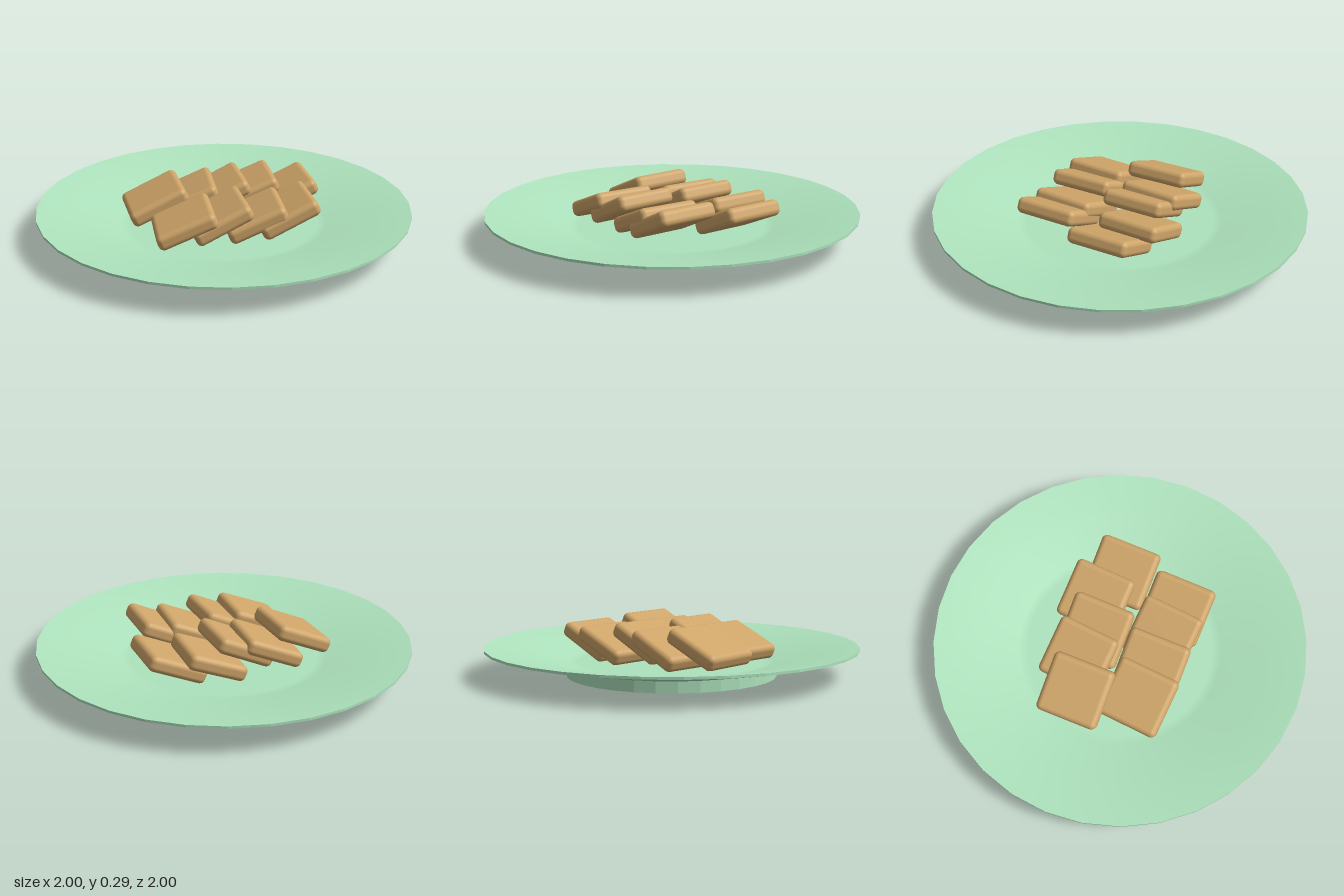
import * as THREE from 'three';
import { RoundedBoxGeometry } from 'three/addons/geometries/RoundedBoxGeometry.js';

const plateColor = 0xaee3bd;
const biscuitColor = 0xcfa569;

// Revolve a [radius, height] profile into one part of the plate
function ring(name, profile, flatShading) {
  const points = profile.map(([r, y]) => new THREE.Vector2(r, y));
  const mesh = new THREE.Mesh(
    new THREE.LatheGeometry(points, 32),
    new THREE.MeshStandardMaterial({ color: plateColor, flatShading, side: THREE.DoubleSide })
  );
  mesh.name = name;
  return mesh;
}

export function createModel() {
  const group = new THREE.Group();
  group.name = 'plateOfBiscuits';

  // Plate: foot ring with recess, sloping underside, thin rim, dished top
  const plate = new THREE.Group();
  plate.name = 'plate';
  plate.add(
    ring('foot', [[0, 0.03], [0.47, 0.03], [0.47, 0], [0.565, 0], [0.565, 0.06]], true),
    ring('underside', [[0.565, 0.06], [1, 0.147], [1, 0.16]], true),
    ring('dish', [[1, 0.16], [0.78, 0.127], [0.55, 0.075], [0.5, 0.071], [0, 0.07]], false)
  );
  group.add(plate);

  // Biscuits: pillowy squares leaning up towards +x, each resting on the next
  const geometry = new RoundedBoxGeometry(0.325, 0.085, 0.34, 4, 0.03);
  const material = new THREE.MeshStandardMaterial({ color: biscuitColor });
  // centre x, y, z, lean, turn
  const biscuits = [
    [-0.355, 0.195, -0.105, 0.42, 0.0],
    [-0.165, 0.175, -0.17, 0.40, -0.09],
    [-0.005, 0.195, -0.14, 0.44, -0.02],
    [0.178, 0.175, -0.215, 0.38, -0.06],
    [0.372, 0.168, -0.14, 0.42, -0.02],
    [-0.26, 0.178, 0.21, 0.38, -0.08],
    [-0.08, 0.193, 0.21, 0.44, -0.01],
    [0.115, 0.173, 0.20, 0.40, -0.09],
    [0.275, 0.193, 0.215, 0.44, -0.03],
  ];
  biscuits.forEach(([x, y, z, lean, turn], i) => {
    const biscuit = new THREE.Mesh(geometry, material);
    biscuit.name = `biscuit${i + 1}`;
    biscuit.position.set(x, y, z);
    biscuit.rotation.set(0, turn, lean, 'YXZ');
    group.add(biscuit);
  });

  return group;
}
